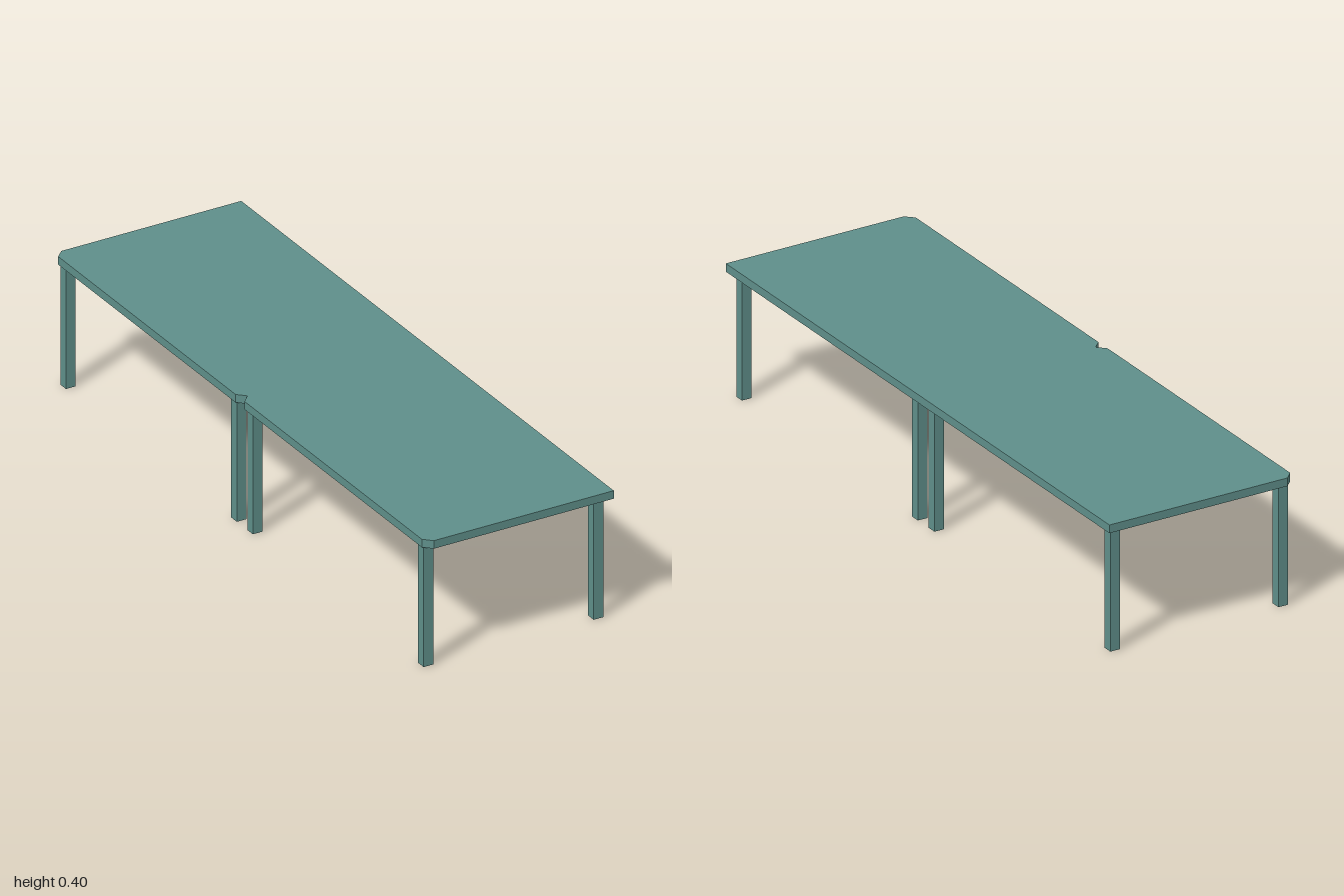
import * as THREE from 'three';

export function createModel() {
  const model = new THREE.Group();
  model.name = 'longTable';
  const teal = new THREE.MeshStandardMaterial({ color: 0x5f8f8a });
  teal.name = 'teal';

  const height = 0.4, thickness = 0.025, halfWidth = 0.301, cut = 0.024;

  // Table top: clipped corners and a V notch along the right edge
  const outline = new THREE.Shape([
    [halfWidth, -1], [halfWidth, 1],
    [-halfWidth + cut, 1], [-halfWidth, 1 - cut],
    [-halfWidth, cut], [-halfWidth + cut, 0], [-halfWidth, -cut],
    [-halfWidth, -1 + cut], [-halfWidth + cut, -1],
  ].map(([x, y]) => new THREE.Vector2(x, y)));
  const topGeometry = new THREE.ExtrudeGeometry(outline, { depth: thickness, bevelEnabled: false });
  topGeometry.rotateX(-Math.PI / 2);
  const top = new THREE.Mesh(topGeometry, teal);
  top.name = 'tableTop';
  top.position.y = height - thickness;
  model.add(top);

  // Square legs: one pair at each end and two pairs near the middle
  const legHeight = height - thickness;
  const legGeometry = new THREE.BoxGeometry(0.031, legHeight, 0.03);
  for (const [side, x] of [['right', -0.279], ['left', 0.267]]) {
    [0.96, 0.043, -0.043, -0.96].forEach((z, i) => {
      const leg = new THREE.Mesh(legGeometry, teal);
      leg.name = `${side}Leg${i + 1}`;
      leg.position.set(x, legHeight / 2, z);
      model.add(leg);
    });
  }
  return model;
}
